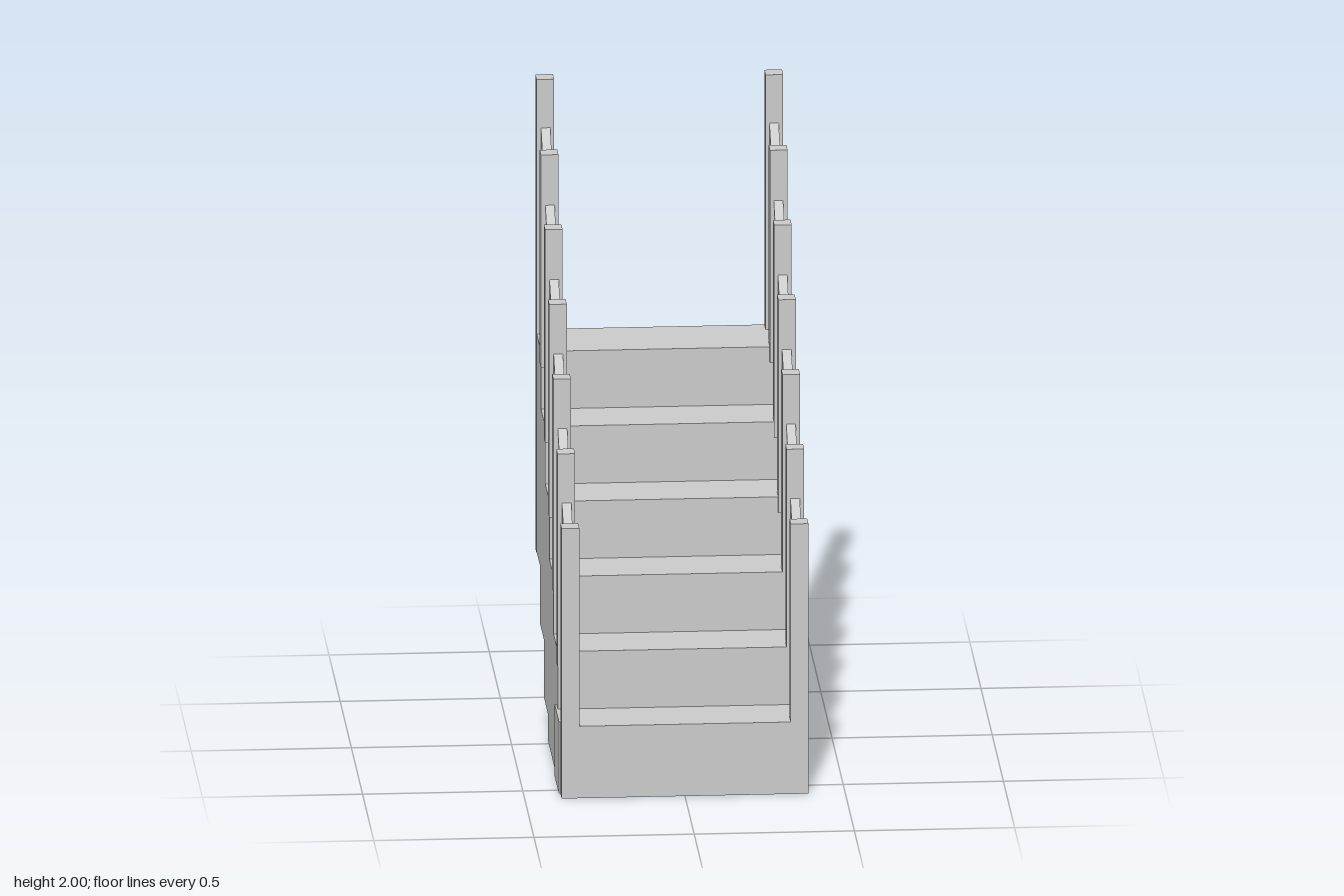
import * as THREE from 'three';

const STEPS = 6, PITCH = 0.1875;   // rise and run are equal
const DEPTH = 0.24, FRONT = 0.59, FIRST_TOP = 0.234;
const POST = 0.055, INNER = 0.33, OUTER = 0.385;

export function createModel() {
  const model = new THREE.Group();
  const material = new THREE.MeshStandardMaterial({ color: 0xcccccc, flatShading: true });

  const add = (name, geometry) => {
    const mesh = new THREE.Mesh(geometry, material);
    mesh.name = name;
    model.add(mesh);
  };

  // Box given by its limits on each axis
  const box = (name, x0, x1, y0, y1, z0, z1) => {
    const g = new THREE.BoxGeometry(x1 - x0, y1 - y0, z1 - z0);
    g.translate((x0 + x1) / 2, (y0 + y1) / 2, (z0 + z1) / 2);
    add(name, g);
  };

  // Side profile of [z, y] points, extruded across x from x0 to x1
  const slab = (name, points, x0, x1) => {
    const shape = new THREE.Shape(points.map(([z, y]) => new THREE.Vector2(z, y)));
    const g = new THREE.ExtrudeGeometry(shape, { depth: x1 - x0, bevelEnabled: false });
    g.rotateY(-Math.PI / 2);
    g.translate(x1, 0, 0);
    add(name, g);
  };

  // Treads and risers: an open-backed flight
  for (let i = 0; i < STEPS; i++) {
    const top = FIRST_TOP + i * PITCH;
    const front = FRONT - i * PITCH;
    const riserBottom = i === 0 ? 0 : top - PITCH - 0.05;
    box('tread', -INNER, INNER, top - 0.05, top, front - DEPTH, front);
    box('riser', -INNER, INNER, riserBottom, top, front - 0.05, front);
  }

  // Stepped outline shared by both side walls
  const outline = [[FRONT, 0]];
  for (let i = 0; i < STEPS; i++) {
    const top = FIRST_TOP + i * PITCH;
    const front = FRONT - i * PITCH;
    outline.push([front, top], [i === STEPS - 1 ? front - DEPTH : front - PITCH, top]);
  }
  for (let i = STEPS - 1; i > 2; i--) {
    const bottom = FIRST_TOP + i * PITCH - 0.71;
    const back = FRONT - i * PITCH - DEPTH;
    outline.push([back, bottom], [back + PITCH, bottom]);
  }
  outline.push([FRONT - 2 * PITCH - DEPTH, 0]);

  // Sloping rail panel
  const railEnd = 0.54;
  const rail = [[railEnd, 0.395], [railEnd, 0.77], [-railEnd, 1.85], [-railEnd, 1.475]];

  for (const side of [-1, 1]) {
    const label = side > 0 ? 'left' : 'right';
    const span = (a, b) => (side > 0 ? [a, b] : [-b, -a]);

    slab(label + 'SideWall', outline, ...span(INNER, OUTER - 0.001));
    slab(label + 'RailPanel', rail, ...span(0.342, 0.371));

    // Slightly proud cheek beside the first step
    box(label + 'BottomCheek', ...span(INNER + 0.005, 0.39), 0, FIRST_TOP, 0.35, 0.535);

    // Square posts, one per step plus one at the back of the landing
    for (let i = 0; i <= STEPS; i++) {
      const front = i === 0 ? FRONT : 0.591 - i * PITCH + 0.0015 * i;
      const wall = FIRST_TOP + Math.min(i, STEPS - 1) * PITCH;
      const bottom = i === 0 ? 0 : i === STEPS ? 0.46 : wall - 0.05;
      const back = i === STEPS ? FRONT - (STEPS - 1) * PITCH - DEPTH : front - POST;
      box(label + 'Post', ...span(INNER, OUTER), bottom, 0.878 + i * 0.187, back, back + POST);
    }
  }
  return model;
}
